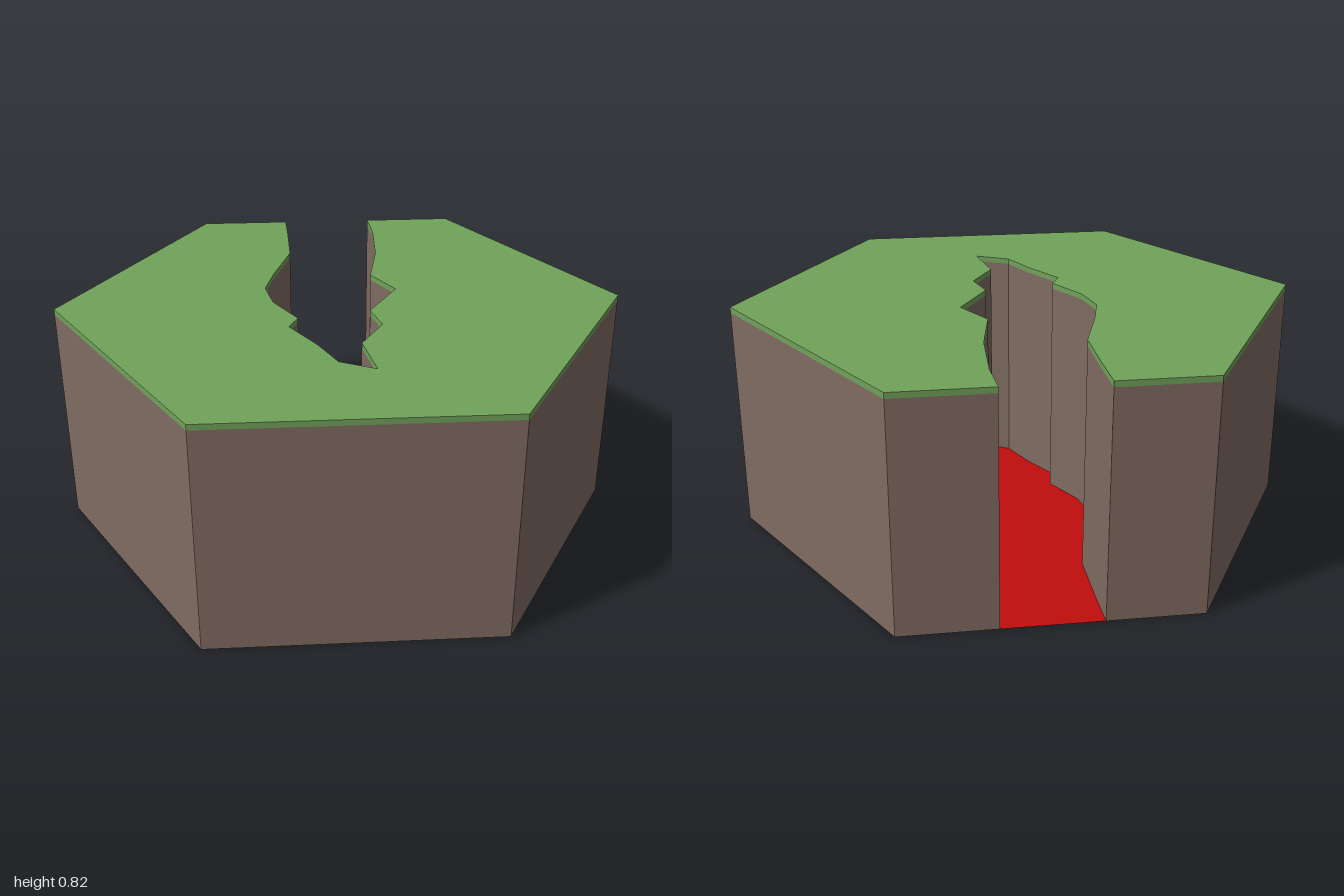
import * as THREE from 'three';

const H = 0.866, SOIL = 0.8, TOP = 0.82;

// Canyon edge as [x, z]: in along the +x bank, round the tip, back along the -x bank
const canyon = [
  [0.17, -H], [0.18, -0.72], [0.17, -0.48], [0.13, -0.25], [0.21, -0.11],
  [0.1, 0.08], [0.133, 0.2], [0.05, 0.345], [0.085, 0.54],
  [-0.035, 0.48], [-0.095, 0.35], [-0.185, 0.2], [-0.152, 0.13],
  [-0.235, -0.015], [-0.262, -0.145], [-0.23, -0.28], [-0.162, -0.5],
  [-0.165, -0.72], [-0.17, -H],
];

// Hexagon cut open at the back by the canyon, counter-clockwise from above
const outline = [
  [-0.5, H], [0.5, H], [1, 0], [0.5, -H], ...canyon, [-0.5, -H], [-1, 0],
];

const material = (color) => new THREE.MeshStandardMaterial({ color, side: THREE.DoubleSide });

// Vertical band following a closed outline, with separate vertices per panel
function band(points, y0, y1) {
  const pos = [];
  points.forEach(([ax, az], i) => {
    const [bx, bz] = points[(i + 1) % points.length];
    pos.push(ax, y0, az, bx, y0, bz, bx, y1, bz);
    pos.push(ax, y0, az, bx, y1, bz, ax, y1, az);
  });
  const geo = new THREE.BufferGeometry();
  geo.setAttribute('position', new THREE.Float32BufferAttribute(pos, 3));
  geo.computeVertexNormals();
  return geo;
}

// Flat horizontal sheet filling an outline, facing up
function sheet(points, y) {
  const shape = new THREE.Shape(points.map(([x, z]) => new THREE.Vector2(x, -z)));
  return new THREE.ShapeGeometry(shape).rotateX(-Math.PI / 2).translate(0, y, 0);
}

export function createModel() {
  const model = new THREE.Group();
  model.name = 'canyonTile';
  const add = (name, geo, mat) => {
    const mesh = new THREE.Mesh(geo, mat);
    mesh.name = name;
    model.add(mesh);
  };
  const soil = material(0x806c62);
  const grass = material(0x70a25a);

  // Hollow earth block, open underneath
  add('earthWalls', band(outline, 0, SOIL), soil);

  // Thin grass layer
  add('grassEdge', band(outline, SOIL, TOP), grass);
  add('grassTop', sheet(outline, TOP), grass);

  // Red floor at the bottom of the canyon
  add('canyonFloor', sheet(canyon, 0), material(0xc00d0d));

  return model;
}
